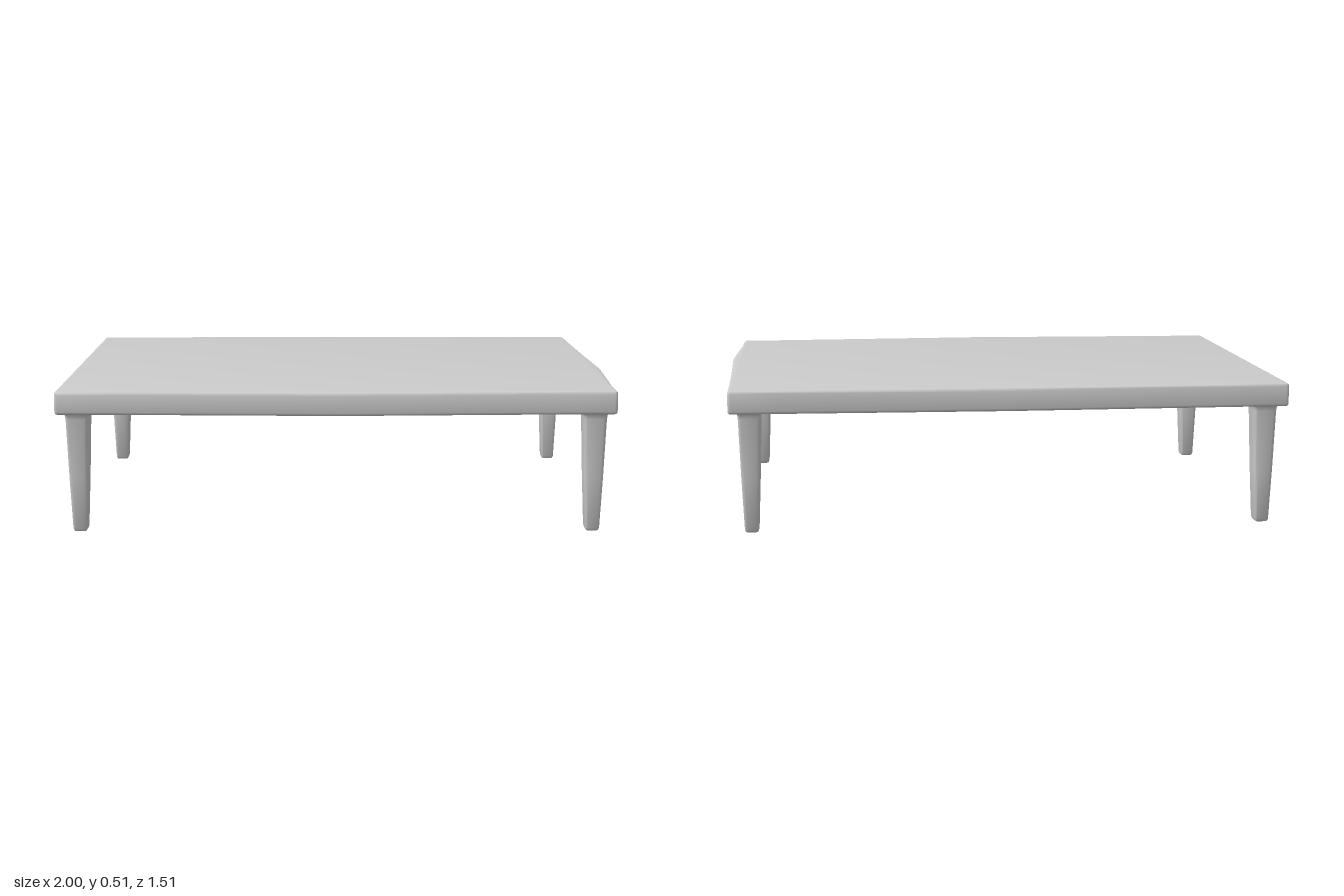
import * as THREE from 'three';
import { toCreasedNormals } from 'three/addons/utils/BufferGeometryUtils.js';

const material = new THREE.MeshStandardMaterial({ color: 0xcccccc });

// Slab with gently bowed front, back and left edges, and softened rims
function makeTop() {
  const r = 0.012, s = new THREE.Shape(); // shape y is -z
  s.moveTo(-1 + r, -0.722);
  s.lineTo(-0.82, -0.724);
  s.lineTo(0, -0.753);
  s.lineTo(0.84, -0.723);
  s.lineTo(0.98 - r, -0.722);
  s.quadraticCurveTo(0.98, -0.722, 0.98, -0.722 + r);
  s.lineTo(0.981, -0.57);
  s.lineTo(0.996, -0.26);
  s.lineTo(1, -0.15);
  s.lineTo(0.988, 0.25);
  s.lineTo(0.981, 0.6);
  s.lineTo(0.98, 0.742 - r);
  s.quadraticCurveTo(0.98, 0.742, 0.98 - r, 0.742);
  s.lineTo(0.8, 0.744);
  s.lineTo(0, 0.759);
  s.lineTo(-0.8, 0.744);
  s.lineTo(-1 + r, 0.742);
  s.quadraticCurveTo(-1, 0.742, -1, 0.742 - r);
  s.lineTo(-1, -0.722 + r);
  s.quadraticCurveTo(-1, -0.722, -1 + r, -0.722);
  const b = 0.01;
  const geo = new THREE.ExtrudeGeometry(s, {
    depth: 0.083 - 2 * b, curveSegments: 4,
    bevelEnabled: true, bevelSize: b, bevelThickness: b, bevelOffset: -b, bevelSegments: 3,
  });
  geo.rotateX(-Math.PI / 2).translate(0, 0.431 + b, 0);
  return toCreasedNormals(geo, 0.6);
}

// Tapered leg: rounded rectangles [y, half width, half depth] joined upward
function makeLeg() {
  const sections = [
    [0, 0.017, 0.024], [0.003, 0.022, 0.03], [0.012, 0.025, 0.034],
    [0.2, 0.033, 0.044], [0.41, 0.04, 0.053],
    [0.424, 0.042, 0.055], [0.431, 0.047, 0.06], [0.445, 0.047, 0.06],
  ];
  const steps = 3, n = 4 * (steps + 1), pos = [], index = [];
  for (const [y, w, d] of sections) {
    const r = w * 0.3;
    for (let c = 0; c < 4; c++) {
      const sx = c === 0 || c === 3 ? 1 : -1, sz = c < 2 ? 1 : -1;
      for (let k = 0; k <= steps; k++) {
        const a = (c + k / steps) * Math.PI / 2;
        pos.push(sx * (w - r) + r * Math.cos(a), y, sz * (d - r) + r * Math.sin(a));
      }
    }
  }
  for (let i = 0; i < sections.length - 1; i++) {
    for (let j = 0; j < n; j++) {
      const a = i * n + j, b = i * n + (j + 1) % n;
      index.push(a, a + n, b, b, a + n, b + n);
    }
  }
  // Foot and hidden upper end
  const last = (sections.length - 1) * n;
  for (let j = 1; j < n - 1; j++) {
    index.push(0, j, j + 1, last, last + j + 1, last + j);
  }
  const geo = new THREE.BufferGeometry();
  geo.setAttribute('position', new THREE.Float32BufferAttribute(pos, 3));
  geo.setIndex(index);
  return toCreasedNormals(geo, 0.6);
}

export function createModel() {
  const group = new THREE.Group();
  group.name = 'lowTable';
  const add = (name, geo, x = 0, z = 0) => {
    const mesh = new THREE.Mesh(geo, material);
    mesh.name = name;
    mesh.position.set(x, 0, z);
    group.add(mesh);
  };
  add('tableTop', makeTop());
  const leg = makeLeg();
  for (const [side, x] of [['Right', -0.925], ['Left', 0.907]]) {
    add('front' + side + 'Leg', leg, x, 0.645);
    add('back' + side + 'Leg', leg, x, -0.656);
  }
  return group;
}
